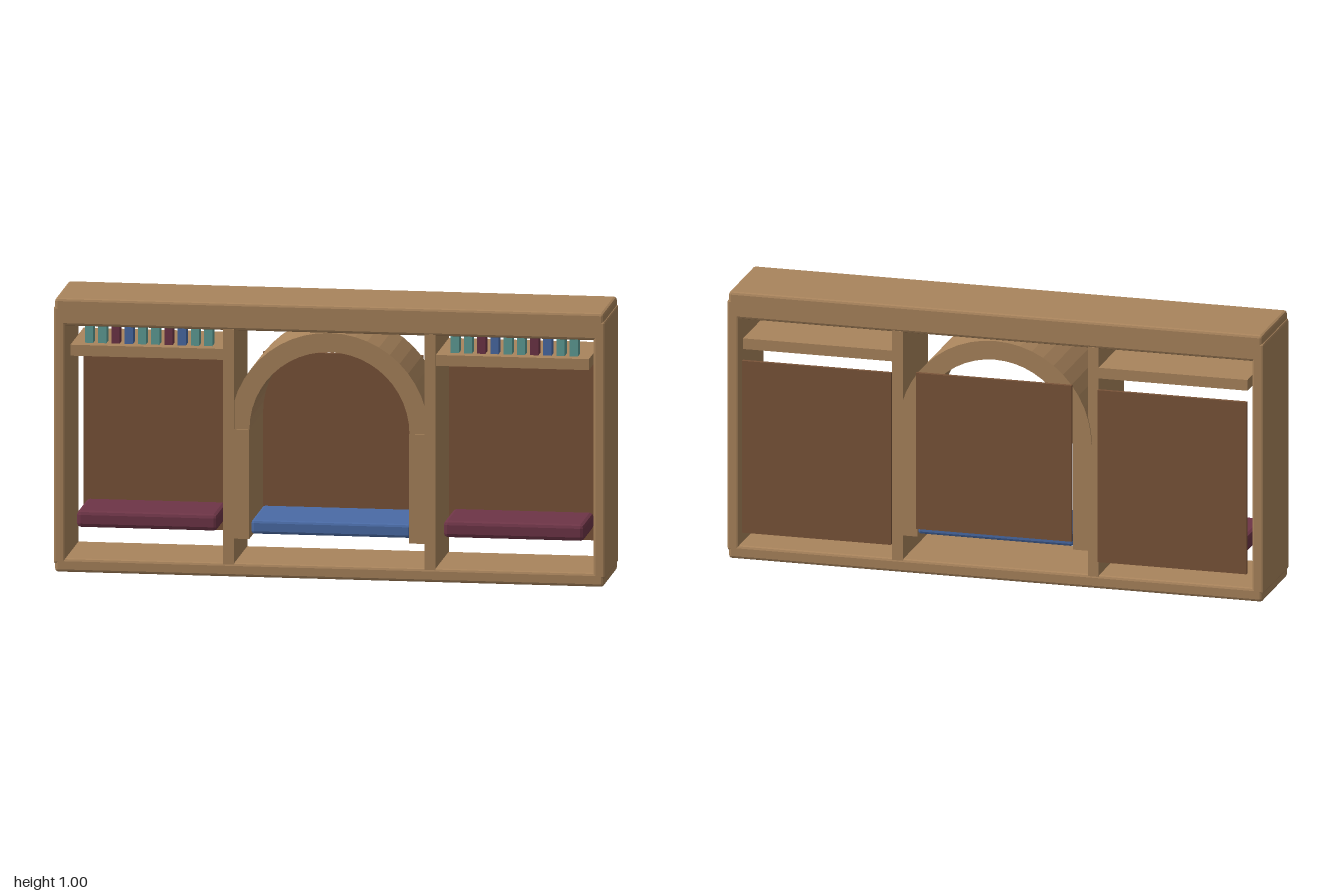
import * as THREE from 'three';
import { RoundedBoxGeometry } from 'three/addons/geometries/RoundedBoxGeometry.js';

const paint = (name, color) => {
  const m = new THREE.MeshStandardMaterial({ color });
  m.name = name;
  return m;
};

export function createModel() {
  const wood = paint('oak', 0xa9845c);
  const dark = paint('dark wood', 0x7a5439);
  const maroon = paint('maroon', 0x6e3547);
  const blue = paint('blue', 0x4a6ba6);
  const teal = paint('teal', 0x5f9e97);

  const model = new THREE.Group();
  model.name = 'wallUnit';

  // Box given by its extents; an optional bevel chamfers the edges
  function box(name, mat, [x0, x1], [y0, y1], [z0, z1], bevel = 0) {
    const size = [x1 - x0, y1 - y0, z1 - z0];
    const geo = bevel
      ? new RoundedBoxGeometry(...size, 1, bevel)
      : new THREE.BoxGeometry(...size);
    if (bevel) geo.computeVertexNormals();
    const mesh = new THREE.Mesh(geo, mat);
    mesh.position.set((x0 + x1) / 2, (y0 + y1) / 2, (z0 + z1) / 2);
    mesh.name = name;
    model.add(mesh);
  }
  const span = (s, a, b) => (s > 0 ? [a, b] : [-b, -a]);
  const depth = [-0.16, 0.175];

  // Carcass top and bottom
  box('topBoard', wood, [-0.995, 0.995], [0.9, 1], depth, 0.01);
  box('bottomBoard', wood, [-0.995, 0.995], [0, 0.05], depth, 0.01);

  const bookColors = [teal, teal, maroon, blue, teal, teal, maroon, blue, teal, teal];
  for (const s of [-1, 1]) {
    // Uprights and arch posts
    box('sidePanel', wood, span(s, 0.957, 1), [0.03, 0.97], depth, 0.008);
    box('divider', wood, span(s, 0.345, 0.385), [0.045, 0.905], depth);
    box('archPost', wood, span(s, 0.29, 0.346), [0.14, 0.54], depth);

    // Side bay: back panel, shelf, cushion
    box('sideBackPanel', dark, span(s, 0.385, 0.94), [0.105, 0.75], [-0.174, -0.16]);
    box('shelf', wood, span(s, 0.384, 0.94), [0.79, 0.83], [-0.16, 0.165]);
    box('sideCushion', maroon, span(s, 0.41, 0.92), [0.16, 0.22], [-0.1, 0.15], 0.014);

    // Row of books, in the same order on both shelves
    bookColors.forEach((mat, i) => {
      const x = s * 0.663 + (i - 4.5) * 0.048;
      box('book', mat, [x - 0.015, x + 0.015], [0.83, 0.902], [0.07, 0.12]);
    });
  }

  // Arch vault through the centre bay
  const ring = new THREE.Shape();
  ring.absarc(0, 0, 0.36, 0, Math.PI, false);
  ring.absarc(0, 0, 0.29, Math.PI, 0, true);
  const archGeo = new THREE.ExtrudeGeometry(ring, { depth: 0.335, bevelEnabled: false, curveSegments: 12 });
  const arch = new THREE.Mesh(archGeo, wood);
  arch.position.set(0, 0.54, -0.166);
  arch.name = 'arch';
  model.add(arch);

  // Centre bay back panel and seat
  box('centreBackPanel', dark, [-0.29, 0.29], [0.175, 0.76], [-0.18, -0.166]);
  box('centreCushion', blue, [-0.29, 0.29], [0.15, 0.2], [-0.16, 0.13], 0.01);

  return model;
}
